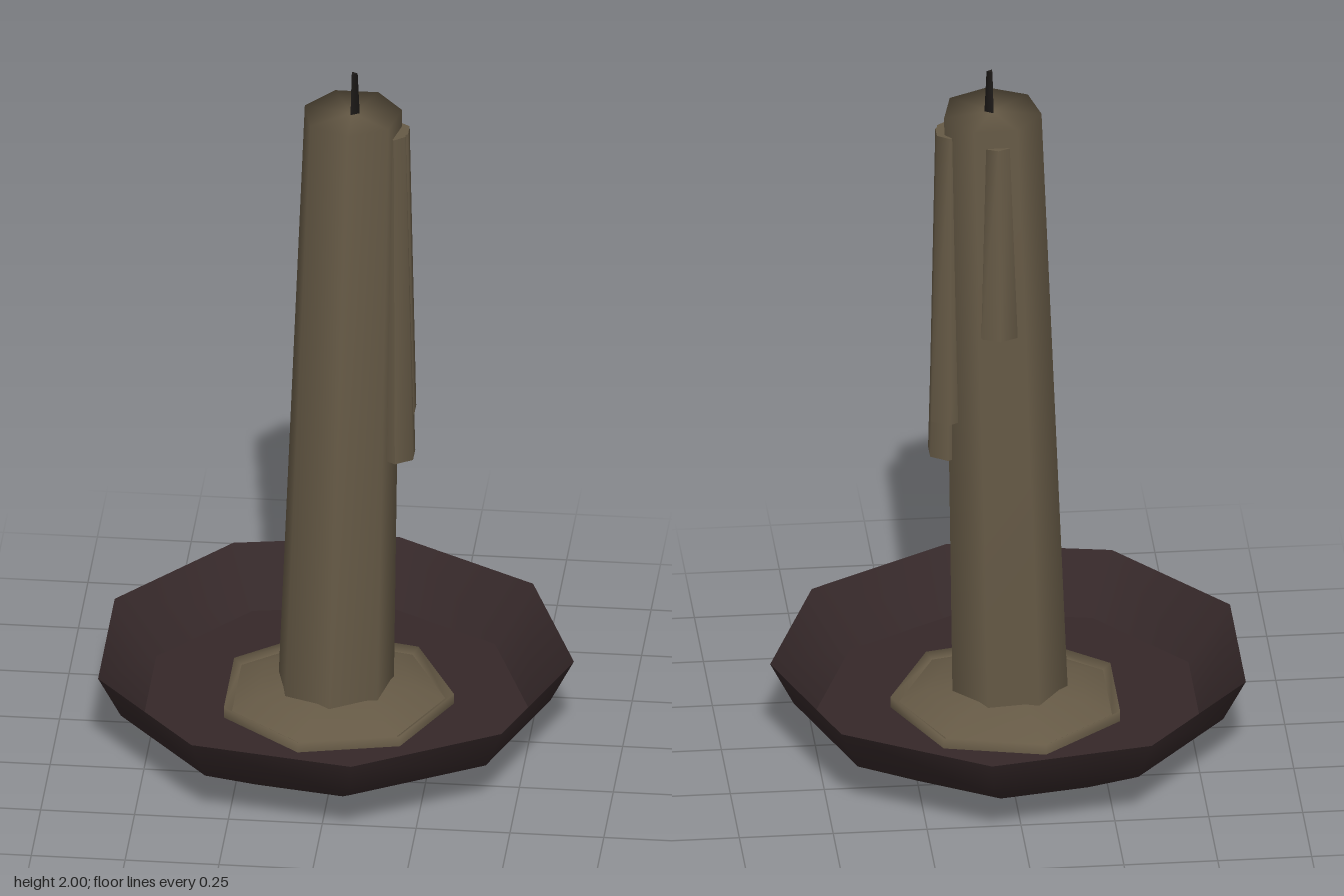
import * as THREE from 'three';

const paint = (name, color) => {
  const m = new THREE.MeshStandardMaterial({ color });
  m.name = name;
  return m;
};

export function createModel() {
  const group = new THREE.Group();
  const wax = paint('wax', 0x665a46);
  const iron = paint('dark iron', 0x352829);
  const char = paint('charred wick', 0x1f1c1a);

  const add = (name, geometry, material, x = 0, y = 0, z = 0) => {
    const mesh = new THREE.Mesh(geometry, material);
    mesh.name = name;
    mesh.position.set(x, y, z);
    group.add(mesh);
    return mesh;
  };
  const lathe = (points, sides, start) =>
    new THREE.LatheGeometry(points.map(([r, y]) => new THREE.Vector2(r, y)), sides, start);

  // Nine-sided dish: base, flared outside wall, inside wall and floor
  const dish = [
    ['dishBase', [[0, 0], [0.351, 0]]],
    ['dishOutside', [[0.351, 0], [0.58, 0.13], [0.642, 0.25]]],
    ['dishInside', [[0.642, 0.25], [0.52, 0.105]]],
    ['dishFloor', [[0.52, 0.105], [0, 0.105]]],
  ];
  for (const [name, points] of dish) add(name, lathe(points, 9, Math.PI / 2), iron, -0.022);

  // Seven-sided puddle of wax with a small raised lip
  add('waxPuddleLip', lathe([[0.315, 0.1], [0.315, 0.135], [0.292, 0.12]], 7, Math.PI / 2), wax, -0.015);
  add('waxPuddle', lathe([[0.292, 0.12], [0.22, 0.15], [0.13, 0.17]], 7, Math.PI / 2), wax, -0.015);

  // Tapered candle, sheared so that it leans slightly to its left
  const candle = lathe([[0.158, 0.11], [0.133, 1.88], [0, 1.88]], 7, 0);
  const p = candle.attributes.position;
  for (let i = 0; i < p.count; i++) {
    const t = (p.getY(i) - 0.11) / 1.77;
    p.setX(i, p.getX(i) - 0.017 + 0.047 * t);
    p.setZ(i, p.getZ(i) + 0.005 - 0.004 * t);
  }
  add('candle', candle, wax);

  // Three-sided wick
  add('wick', new THREE.CylinderGeometry(0.01, 0.016, 0.13, 3, 1, false, Math.PI / 2), char, 0.034, 1.935, 0);

  // Wax drips: six-sided prisms between two ends given as [x, y, z, half width x, half width z]
  const drip = (name, top, bottom) => {
    const g = new THREE.CylinderGeometry(1, 1, 1, 6);
    const v = g.attributes.position;
    for (let i = 0; i < v.count; i++) {
      const [x, y, z, hx, hz] = v.getY(i) > 0 ? top : bottom;
      v.setXYZ(i, x + v.getX(i) * hx * 1.1, y, z + v.getZ(i) * hz);
    }
    g.computeVertexNormals();
    add(name, g, wax);
  };
  drip('longSideDrip', [0.145, 1.83, 0.005, 0.03, 0.045], [0.15, 0.86, 0.012, 0.048, 0.058]);
  drip('shortSideDrip', [0.145, 1.83, -0.01, 0.036, 0.045], [0.148, 0.98, -0.018, 0.05, 0.053]);
  drip('backDrip', [0.025, 1.83, -0.108, 0.033, 0.027], [0.022, 1.27, -0.12, 0.05, 0.04]);

  return group;
}
